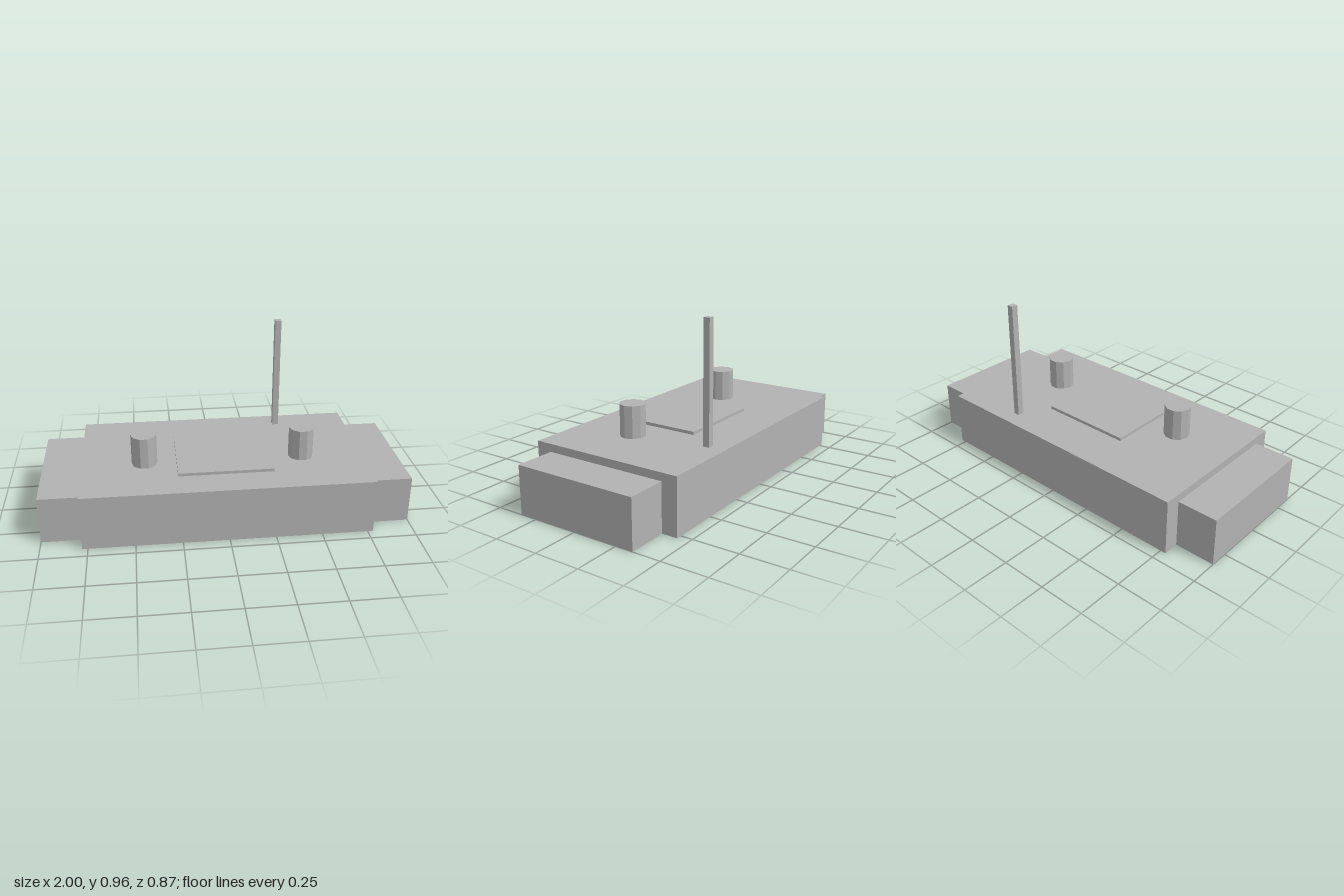
import * as THREE from 'three';

export function createModel() {
  const model = new THREE.Group();
  const grey = new THREE.MeshStandardMaterial({ color: 0xb2b2b2, flatShading: true });
  grey.name = 'grey';

  const add = (name, geometry, x, y, z) => {
    const mesh = new THREE.Mesh(geometry, grey);
    mesh.name = name;
    mesh.position.set(x, y, z);
    model.add(mesh);
    return mesh;
  };
  // box standing on the height "base"
  const box = (name, w, h, d, x, base, z) =>
    add(name, new THREE.BoxGeometry(w, h, d), x, base + h / 2, z);

  const top = 0.305;
  box('body', 1.56, top, 0.87, 0, 0, 0);
  box('topPlate', 0.52, 0.017, 0.436, 0, top, 0.044);
  box('antenna', 0.035, 0.655, 0.036, 0.363, top, -0.331);

  // mirrored end blocks and ten-sided knobs
  for (const [side, s] of [['left', 1], ['right', -1]]) {
    box(side + 'EndBlock', 0.22, 0.262, 0.696, s * 0.89, 0, 0);
    const knob = new THREE.CylinderGeometry(0.07, 0.07, 0.175, 10).rotateY(Math.PI / 2);
    add(side + 'Knob', knob, s * 0.435, top + 0.0875, 0.088);
  }
  return model;
}
